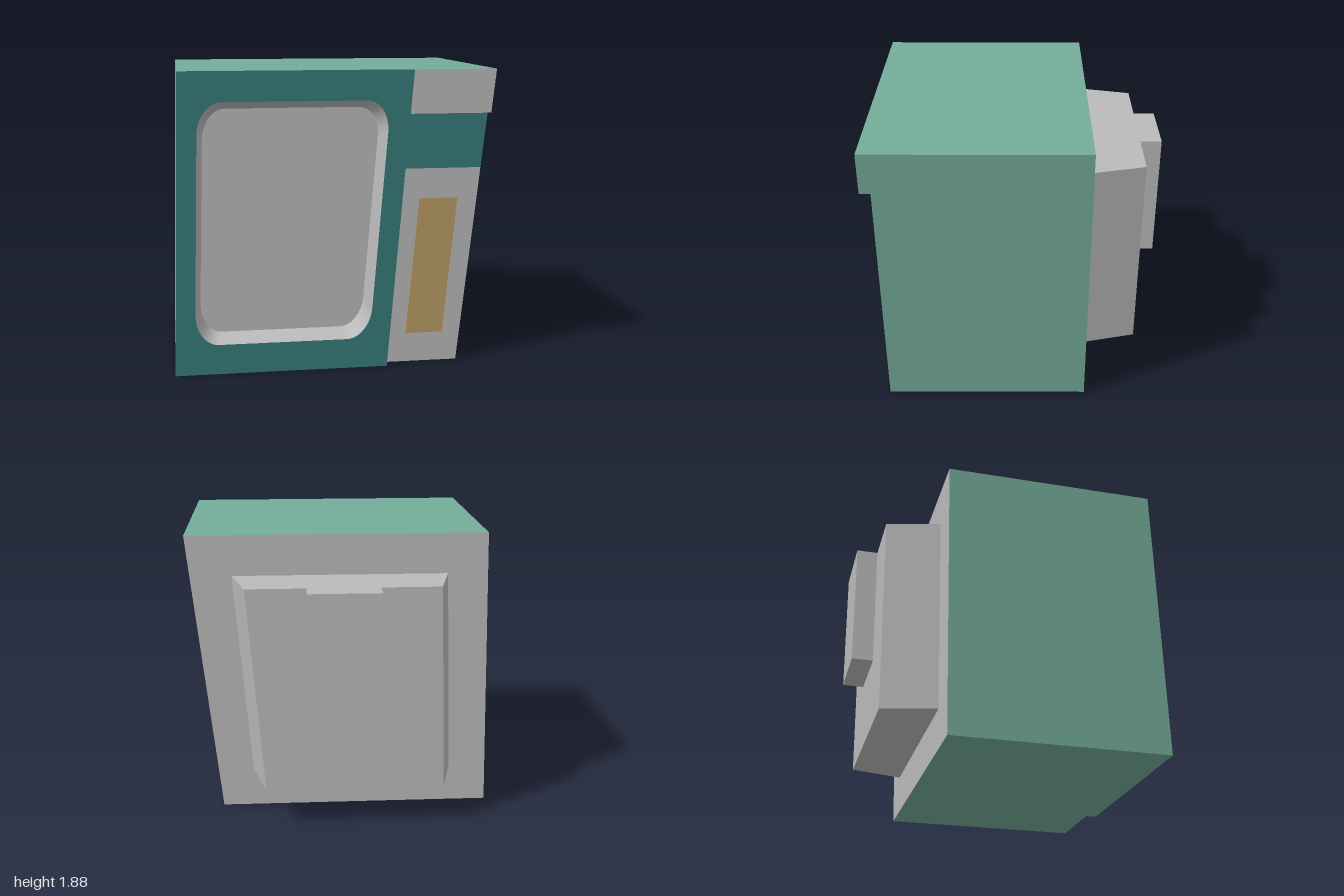
import * as THREE from 'three';

const paint = (name, color) => {
  const m = new THREE.MeshStandardMaterial({ color });
  m.name = name;
  return m;
};

// Corner order for each side of a slab: 0-3 front, 4-7 back, both
// running low left, low right, high right, high left.
const SIDES = {
  front: [0, 1, 2, 3], back: [5, 4, 7, 6], right: [1, 5, 6, 2],
  left: [4, 0, 3, 7], top: [3, 2, 6, 7], bottom: [4, 5, 1, 0],
};

// Leaning slab. lowX and highX are [left, right] at y0 and y1; taper widens
// the back (negative narrows it). Only the sides given a material are built.
function slab(name, lowX, highX, [y0, y1], [z0, z1], mats, taper = 0) {
  const ring = (z, t) => [
    [lowX[0] - t, y0, z], [lowX[1] + t, y0, z],
    [highX[1] + t, y1, z], [highX[0] - t, y1, z],
  ];
  const corners = [...ring(z1, 0), ...ring(z0, taper)];
  const geo = new THREE.BufferGeometry();
  const pos = [], list = [];
  for (const [side, mat] of Object.entries(mats)) {
    const [a, b, c, d] = SIDES[side];
    geo.addGroup(pos.length / 3, 6, list.length);
    for (const i of [a, b, c, a, c, d]) pos.push(...corners[i]);
    list.push(mat);
  }
  geo.setAttribute('position', new THREE.Float32BufferAttribute(pos, 3));
  geo.computeVertexNormals();
  const mesh = new THREE.Mesh(geo, list);
  mesh.name = name;
  return mesh;
}

// Four-sided outline with rounded corners, counter-clockwise from low left
function roundedQuad(corners, rx, ry) {
  const pts = [];
  corners.forEach((p, i) => {
    const toward = (q) => {
      const d = q.clone().sub(p);
      return d.setLength(Math.abs(d.x) > Math.abs(d.y) ? rx : ry);
    };
    const a = toward(corners[(i + 3) % 4]), b = toward(corners[(i + 1) % 4]);
    const at = (d, s) => p.clone().addScaledVector(d, s);
    pts.push(...new THREE.CubicBezierCurve(at(a, 1), at(a, 0.45), at(b, 0.45), at(b, 1)).getPoints(10));
  });
  return pts;
}

// Smooth sloping band between two outlines with equal point counts
function band(outer, zOuter, inner, zInner) {
  const n = outer.length, pos = [], index = [];
  outer.forEach((p) => pos.push(p.x, p.y, zOuter));
  inner.forEach((p) => pos.push(p.x, p.y, zInner));
  for (let i = 0; i < n; i++) {
    const j = (i + 1) % n;
    index.push(i, j, n + j, i, n + j, n + i);
  }
  const geo = new THREE.BufferGeometry();
  geo.setAttribute('position', new THREE.Float32BufferAttribute(pos, 3));
  geo.setIndex(index);
  geo.computeVertexNormals();
  return geo;
}

export function createModel() {
  const model = new THREE.Group();
  model.name = 'cabinet';
  const green = paint('shell green', 0x74ad99);
  const teal = paint('dark teal', 0x387b7b);
  const grey = paint('light grey', 0xbababa);
  const ochre = paint('ochre', 0xb89b64);

  const H = 1.88, FRONT = 0.94, PANEL = 0.87, BACK = -0.45, FLOOR = 0.815;
  // Leaning lines: left edge, divider beside the screen, right edge
  const L = (y) => -1 + 0.0266 * y;
  const D = (y) => 0.335 + 0.0798 * y;
  const R = (y) => 0.805 + 0.1037 * y;
  const between = (name, a, b, [y0, y1], z, mats) =>
    slab(name, [a(y0), b(y0)], [a(y1), b(y1)], [y0, y1], z, mats);

  // Main shell
  model.add(between('shell', L, R, [0, H], [BACK, PANEL],
    { back: grey, right: green, left: green, top: green, bottom: green }));

  // Raised screen surround
  model.add(between('surroundEdge', L, D, [0, H], [PANEL, FRONT],
    { left: green, top: green, bottom: green }));
  const v = (x, y) => new THREE.Vector2(x, y);
  const outer = roundedQuad([v(-0.875, 0.19), v(0.222, 0.19), v(0.34, 1.695), v(-0.835, 1.695)], 0.145, 0.2);
  const inner = roundedQuad([v(-0.84, 0.235), v(0.187, 0.235), v(0.3, 1.645), v(-0.8, 1.645)], 0.135, 0.19);
  const frame = new THREE.Shape([v(L(0), 0), v(D(0), 0), v(D(H), H), v(L(H), H)]);
  frame.holes.push(new THREE.Path(outer));
  const surround = new THREE.Mesh(new THREE.ShapeGeometry(frame), teal);
  surround.name = 'screenSurround';
  surround.position.z = FRONT;
  model.add(surround);

  // Sunken screen with its sloping rim
  const rim = new THREE.Mesh(band(outer, FRONT, inner, FLOOR), grey);
  rim.name = 'screenRim';
  const screen = new THREE.Mesh(new THREE.ShapeGeometry(new THREE.Shape(inner)), grey);
  screen.name = 'screen';
  screen.position.z = FLOOR;
  model.add(rim, screen);

  // Control panel: recessed lower part, teal band, raised top block
  const parts = [['lowerPanel', 0, 1.26, grey], ['panelBand', 1.26, 1.61, teal]];
  for (const [name, y0, y1, mat] of parts) {
    model.add(between(name, D, R, [y0, y1], [BACK, PANEL], { front: mat }));
    model.add(between(name + 'Step', L, D, [y0, y1], [PANEL, FRONT], { right: mat }));
  }
  model.add(between('topBlock', D, R, [1.61, H], [PANEL, FRONT],
    { front: grey, right: green, top: green, bottom: teal }));
  model.add(slab('grillePlate', [0.47, 0.71], [0.545, 0.79], [0.19, 1.07], [PANEL, PANEL + 0.003],
    { front: ochre, right: ochre, left: ochre, top: ochre, bottom: ochre }));

  // Stepped rear housing
  const sides = { back: grey, right: grey, left: grey, top: grey, bottom: grey };
  model.add(slab('rearHousing', [-0.745, 0.595], [-0.695, 0.705], [0.265, 1.615], [-0.8, BACK], sides, -0.09));
  model.add(slab('rearCap', [-0.275, 0.17], [-0.225, 0.235], [0.76, 1.615], [-0.94, -0.8], sides));

  return model;
}
